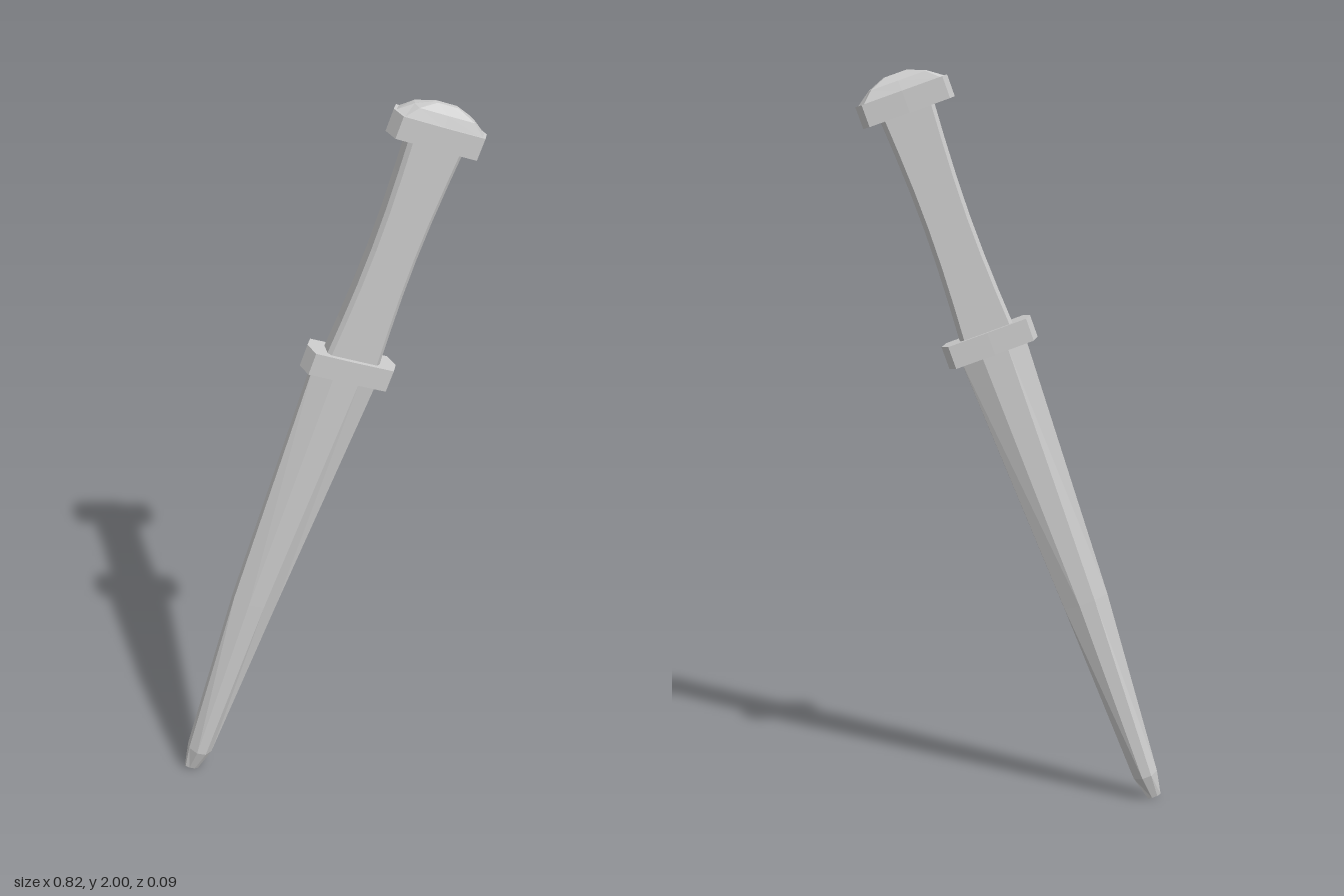
import * as THREE from 'three';

const material = new THREE.MeshStandardMaterial({ color: 0xcccccc, flatShading: true });

// Skins a stack of convex rings, bottom to top, and closes both ends.
// Each section is { y, ring: [[x, z], ...] } with corners running from +x towards +z.
function loft(name, sections) {
  const rings = sections.map(({ y, ring }) => ring.map(([x, z]) => [x, y, z]));
  const n = rings[0].length;
  const positions = [];
  const tri = (a, b, c) => positions.push(...a, ...b, ...c);
  for (let j = 0; j < rings.length - 1; j++) {
    for (let i = 0; i < n; i++) {
      const k = (i + 1) % n;
      tri(rings[j][i], rings[j + 1][i], rings[j + 1][k]);
      tri(rings[j][i], rings[j + 1][k], rings[j][k]);
    }
  }
  const bottom = rings[0], top = rings[rings.length - 1];
  for (let i = 1; i < n - 1; i++) {
    tri(bottom[0], bottom[i], bottom[i + 1]);
    tri(top[0], top[i + 1], top[i]);
  }
  const geometry = new THREE.BufferGeometry();
  geometry.setAttribute('position', new THREE.Float32BufferAttribute(positions, 3));
  geometry.computeVertexNormals();
  const mesh = new THREE.Mesh(geometry, material);
  mesh.name = name;
  return mesh;
}

// Octagon: edge half width w, edge half thickness e, face half width f, face half thickness t
const octagon = (w, e, f, t, shift = 0) => [
  [w, -e], [w, e], [f, t], [-f, t], [-w, e], [-w, -e], [-f, -t], [f, -t],
].map(([x, z]) => [x + shift, z]);

// Long plan with pointed ends and slightly bowed sides
const pointed = (tip, corner, z, bow) => [
  [tip, 0], [corner, z], [0, z + bow], [-corner, z],
  [-tip, 0], [-corner, -z], [0, -z - bow], [corner, -z],
];

export function createModel() {
  const model = new THREE.Group();
  model.name = 'dagger';

  // Everything is built upright around the guard, then leaned over
  const body = new THREE.Group();
  body.name = 'leaningBody';
  body.rotation.z = THREE.MathUtils.degToRad(-19.5);
  body.position.set(0.064, 1.291, 0);
  model.add(body);

  // Blade: tapering octagon with a blunt chiselled tip
  body.add(loft('blade', [
    { y: -1.361, ring: octagon(0.019, 0.006, 0.008, 0.012, -0.004) },
    { y: -1.29, ring: octagon(0.034, 0.012, 0.013, 0.034, -0.001) },
    { y: -0.76, ring: octagon(0.062, 0.012, 0.022, 0.035, -0.008) },
    { y: -0.02, ring: octagon(0.091, 0.012, 0.036, 0.035, -0.002) },
  ]));

  // Guard
  const guardPlan = pointed(0.125, 0.109, 0.043, 0.002);
  body.add(loft('guard', [
    { y: -0.031, ring: guardPlan },
    { y: 0.031, ring: guardPlan },
  ]));

  // Grip: waisted bar with narrow bevels
  const gripSections = [];
  for (let i = 0; i <= 6; i++) {
    const s = i / 6;
    const width = 0.074 - 0.012 * Math.sin(Math.PI * s);
    gripSections.push({ y: 0.02 + s * 0.63, ring: octagon(width, 0.021, width - 0.01, 0.031) });
  }
  body.add(loft('grip', gripSections));

  // Pommel block and its faceted cap
  const pommel = new THREE.Group();
  pommel.name = 'pommel';
  pommel.position.x = -0.004;
  const pommelPlan = pointed(0.126, 0.11, 0.043, 0.002);
  pommel.add(loft('pommelBlock', [
    { y: 0.635, ring: pommelPlan },
    { y: 0.694, ring: pommelPlan },
  ]));
  pommel.add(loft('pommelCap', [
    { y: 0.692, ring: pointed(0.121, 0.106, 0.039, 0.001) },
    { y: 0.721, ring: pointed(0.08, 0.074, 0.029, 0.001) },
    { y: 0.74, ring: pointed(0.032, 0.028, 0.009, 0) },
  ]));
  body.add(pommel);

  return model;
}
